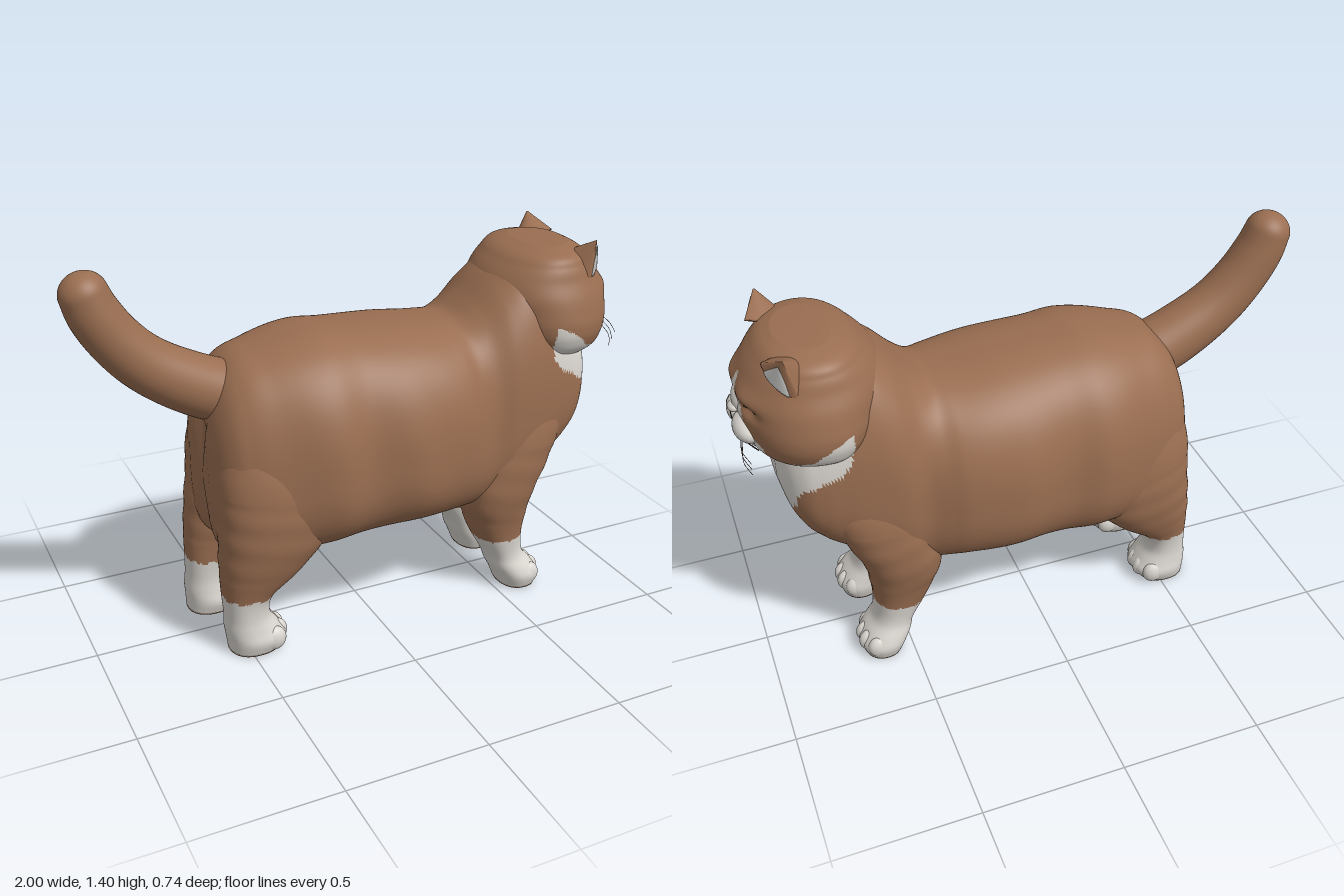
import * as THREE from 'three';

const mat = (name, color) => Object.assign(new THREE.MeshStandardMaterial({ color }), { name });
const { sin, cos, abs, sign, pow, max, exp, PI } = Math;

// Smooth interpolation through rows of [key, ...values]
function spline(rows) {
  const size = rows[0].length - 1;
  const it = new THREE.CubicInterpolant(rows.map(r => r[0]), rows.flatMap(r => r.slice(1)), size, new Float32Array(size));
  return t => Array.from(it.evaluate(THREE.MathUtils.clamp(t, rows[0][0], rows[rows.length - 1][0])));
}

// Straight-line interpolation, used for colour borders
function border(rows) {
  return t => {
    for (let i = 1; i < rows.length; i++) {
      const [a, b] = [rows[i - 1], rows[i]];
      if (t <= b[0]) return a[1] + (b[1] - a[1]) * max(0, (t - a[0]) / (b[0] - a[0]));
    }
    return rows[rows.length - 1][1];
  };
}

// Point on a unit superellipse
function ring(a, n) {
  const p = v => sign(v) * pow(abs(v), 2 / n);
  return [p(cos(a)), p(sin(a))];
}

// Closed skin over rings fn(u, angle), capped at both ends, always facing outward
function skin(rows, cols, fn) {
  const pos = [], idx = [];
  for (let i = 0; i <= rows; i++)
    for (let j = 0; j < cols; j++) pos.push(...fn(i / rows, j / cols * 2 * PI));
  const at = (i, j) => i * cols + j % cols;
  for (let i = 0; i < rows; i++)
    for (let j = 0; j < cols; j++) {
      const a = at(i, j), b = at(i, j + 1), c = at(i + 1, j), d = at(i + 1, j + 1);
      idx.push(a, b, c, b, d, c);
    }
  for (const i of [0, rows]) {
    const c = [0, 0, 0], k = pos.length / 3;
    for (let j = 0; j < cols; j++) c.forEach((_, q) => { c[q] += pos[at(i, j) * 3 + q] / cols; });
    pos.push(...c);
    for (let j = 0; j < cols; j++) idx.push(...(i ? [at(i, j), at(i, j + 1), k] : [at(i, j + 1), at(i, j), k]));
  }
  const v = k => new THREE.Vector3().fromArray(pos, idx[k] * 3);
  let volume = 0;
  for (let k = 0; k < idx.length; k += 3) volume += v(k).dot(v(k + 1).cross(v(k + 2)));
  if (volume < 0) idx.reverse();
  const g = new THREE.BufferGeometry();
  g.setAttribute('position', new THREE.Float32BufferAttribute(pos, 3));
  g.setIndex(idx);
  g.computeVertexNormals();
  return g;
}

// Sort triangles into two colour groups by the position of their middle
function paint(g, isSecond) {
  const p = g.attributes.position, idx = g.index.array, sets = [[], []];
  for (let k = 0; k < idx.length; k += 3) {
    const t = [idx[k], idx[k + 1], idx[k + 2]];
    const mid = f => t.reduce((s, i) => s + f(i) / 3, 0);
    sets[isSecond(mid(i => p.getX(i)), mid(i => p.getY(i)), mid(i => p.getZ(i))) ? 1 : 0].push(...t);
  }
  g.setIndex([...sets[0], ...sets[1]]);
  g.addGroup(0, sets[0].length, 0);
  g.addGroup(sets[0].length, sets[1].length, 1);
  return g;
}

// Torso stations along x: bottom, top, half width
const torso = spline([
  [-0.59, 0.45, 0.82, 0.1], [-0.575, 0.4, 0.88, 0.17], [-0.54, 0.36, 0.97, 0.235], [-0.48, 0.34, 1.04, 0.275],
  [-0.38, 0.33, 1.075, 0.315], [-0.2, 0.335, 1.11, 0.36], [-0.08, 0.345, 1.103, 0.348], [0.12, 0.355, 1.09, 0.37],
  [0.3, 0.35, 1.075, 0.34], [0.36, 0.345, 1.08, 0.315], [0.42, 0.34, 1.125, 0.295], [0.5, 0.34, 1.205, 0.3], [0.6, 0.37, 1.275, 0.285],
  [0.68, 0.46, 1.24, 0.272], [0.76, 0.53, 1.13, 0.252], [0.82, 0.6, 1.05, 0.215], [0.86, 0.69, 0.97, 0.15], [0.88, 0.78, 0.92, 0.07]]);
// Head stations along y: back x, front x, half width
const skull = spline([
  [0.87, 0.68, 0.85, 0.09], [0.905, 0.62, 0.9, 0.19], [0.95, 0.57, 0.942, 0.262], [1, 0.53, 0.958, 0.293],
  [1.05, 0.51, 0.965, 0.3], [1.1, 0.5, 0.965, 0.292], [1.15, 0.49, 0.957, 0.278], [1.2, 0.5, 0.935, 0.255],
  [1.25, 0.54, 0.9, 0.235], [1.29, 0.59, 0.86, 0.2], [1.31, 0.65, 0.82, 0.13]]);
// Leg stations along y: centre x, centre z, half length, half width
const foreLeg = spline([
  [0, 0.605, 0.165, 0.07, 0.09], [0.05, 0.6, 0.165, 0.085, 0.105], [0.09, 0.578, 0.16, 0.084, 0.1], [0.13, 0.555, 0.152, 0.074, 0.093],
  [0.22, 0.523, 0.15, 0.093, 0.1], [0.3, 0.508, 0.155, 0.115, 0.11], [0.4, 0.502, 0.165, 0.138, 0.125],
  [0.55, 0.54, 0.165, 0.165, 0.135], [0.7, 0.58, 0.145, 0.185, 0.14], [0.85, 0.6, 0.11, 0.15, 0.12], [0.95, 0.6, 0.1, 0.08, 0.08]]);
const hindLeg = spline([
  [0, -0.475, 0.16, 0.09, 0.085], [0.05, -0.465, 0.16, 0.105, 0.1], [0.09, -0.48, 0.16, 0.096, 0.092], [0.14, -0.495, 0.16, 0.08, 0.085],
  [0.22, -0.49, 0.16, 0.09, 0.092], [0.3, -0.445, 0.165, 0.14, 0.112], [0.4, -0.4, 0.17, 0.185, 0.135],
  [0.55, -0.37, 0.17, 0.212, 0.15], [0.7, -0.365, 0.15, 0.21, 0.155], [0.85, -0.37, 0.13, 0.15, 0.12], [0.93, -0.37, 0.12, 0.08, 0.08]]);
const tailLine = spline([
  [0, -0.4, 0.885, 0.112], [0.3, -0.6, 0.97, 0.106], [0.55, -0.75, 1.065, 0.096], [0.75, -0.845, 1.165, 0.09], [0.9, -0.905, 1.26, 0.086], [1, -0.93, 1.325, 0.08]]);

// Colour borders
const fray = t => 0.003 * sin(t * 70) + 0.002 * sin(t * 151);
const bibNear = border([[0.33, 0.025], [0.4, 0.04], [0.5, 0.06], [0.6, 0.078], [0.65, 0.085], [0.72, 0.165], [0.8, 0.205], [0.87, 0.26], [1, 0.3]]);
const bibFar = border([[0.33, 0.05], [0.4, 0.075], [0.47, 0.1], [0.55, 0.12], [0.62, 0.1], [0.67, 0.11], [0.75, 0.18], [0.8, 0.2], [0.87, 0.26], [1, 0.3]]);
const bibStart = border([[0.6, 0.55], [0.75, 0.76], [0.87, 0.71], [0.94, 0.66], [1.07, 0.65]]);
const jawLine = border([[0.65, 1.06], [0.7, 1.045], [0.79, 0.975], [0.9, 0.935], [1, 0.925]]);
const blazeWidth = border([[0.93, 0.13], [0.97, 0.16], [0.995, 0.163], [1.02, 0.12], [1.06, 0.075], [1.1, 0.042], [1.2, 0]]);
const inBib = (x, y, z) => x > bibStart(y) && y < 1.07 && abs(z) < (z > 0 ? bibNear(y) : bibFar(y)) + fray(y);
const inBelly = (x, y, z) => x > -0.24 && x < 0.45 && y < 0.405 && abs(z) < 0.15 + (x < 0.02 && x > -0.18 ? 0.07 : 0) + fray(x);
const inFace = (x, y, z) => x > 0.65 && (y < jawLine(x) + fray(x) || (x > 0.82 && y < 1.2 && abs(z) < blazeWidth(y)));

// Hollows around the eyes and a soft ridge above them
const roundness = 2.12;
const hollow = (y, z) => 0.024 * exp(-pow((y - 1.105 - 0.1 * (abs(z) - 0.1)) / 0.022, 2) - pow((abs(z) - 0.105) / 0.055, 2))
  - 0.014 * exp(-pow((y - 1.148) / 0.03, 2) - pow((abs(z) - 0.1) / 0.07, 2));
function faceX(y, z) {
  const [, front, w] = skull(y);
  return 0.72 + (front - 0.72) * pow(max(0, 1 - pow(abs(z) / w, roundness)), 1 / roundness) - hollow(y, z);
}

export function createModel() {
  const model = new THREE.Group();
  const brown = mat('brown fur', 0x9a6e51), white = mat('white fur', 0xdad6d0);
  const grey = mat('inner ear grey', 0xc4c3c2), noseGrey = mat('nose', 0xcdc6c0), dark = mat('dark lines', 0x4a372c);
  const add = (name, geometry, material) => {
    const m = new THREE.Mesh(geometry, material);
    m.name = name;
    model.add(m);
    return m;
  };
  const ball = (name, material, p, r) => {
    const m = add(name, new THREE.SphereGeometry(1, 24, 16), material);
    m.position.set(...p);
    m.scale.set(...r);
  };
  const line = (name, material, points, r) =>
    add(name, new THREE.TubeGeometry(new THREE.CatmullRomCurve3(points.map(p => new THREE.Vector3(...p))), 12, r, 5), material);

  // Torso and neck with white bib and belly, and a cleft down the rump
  add('body', paint(skin(150, 140, (u, a) => {
    const x = -0.59 + 1.47 * u, [lo, hi, w] = torso(x), [c, s] = ring(a, 2.5);
    const mid = lo + 0.42 * (hi - lo), y = mid + s * (s > 0 ? hi - mid : mid - lo);
    const z = c * w * (1 + 0.008 * sin(x * 23 + 3 * sin(a)));
    const cleft = y < 0.85 ? 0.04 * exp(-pow(z / 0.05, 2)) * max(0, -0.45 - x) / 0.14 : 0;
    return [x + cleft, y, z];
  }), (x, y, z) => inBib(x, y, z) || inBelly(x, y, z)), [brown, white]);

  // Head
  add('head', paint(skin(110, 150, (u, a) => {
    const y = 0.87 + 0.44 * u, [back, front, w] = skull(y), [c, s] = ring(a, roundness);
    const dent = c > 0.2 ? hollow(y, s * w) : 0;
    return [0.72 + c * (c > 0 ? front - 0.72 : 0.72 - back) - dent, y, s * w];
  }), inFace), [brown, white]);

  // Muzzle, chin and nose
  ball('chin', white, [0.91, 0.95, 0], [0.045, 0.036, 0.09]);
  ball('noseBridge', white, [0.95, 1.085, 0], [0.028, 0.06, 0.036]);
  ball('nose', noseGrey, [0.974, 1.062, 0], [0.02, 0.016, 0.028]);
  line('noseCleft', dark, [[0.986, 1.05, 0], [0.986, 1.03, 0], [0.982, 1.0, 0]], 0.0016);

  for (const s of [1, -1]) {
    const side = s > 0 ? 'Near' : 'Far';
    ball('muzzlePad', white, [0.94, 1.012, 0.052 * s], [0.054, 0.046, 0.08]);
    line('mouthLine', dark, [[0.97, 0.995, 0], [0.97, 0.975, 0.04 * s], [0.955, 0.965, 0.08 * s], [0.928, 0.958, 0.125 * s]], 0.0025);

    // Narrow squinting eyes
    const lid = [0.065, 0.09, 0.115, 0.15].map((z, i) => [faceX(1.1 + 0.005 * i, z), 1.1 + 0.005 * i, z * s]);
    line('eyeSlit', dark, lid, 0.0035);

    // Whiskers
    for (let i = 0; i < 3; i++)
      line('whisker', dark, [[0.97, 1.01 - 0.015 * i, 0.08 * s], [0.983, 0.985 - 0.024 * i, 0.14 * s], [0.965, 0.97 - 0.032 * i, (0.2 - 0.014 * i) * s]], 0.001);

    // Ears: a lens-shaped shell turned forward and outward, with a lighter inner face
    const ear = (k, shift, front, back) => skin(16, 32, (u, a) => {
      const t = 1 - u * 0.97, w = k * t * cos(a), d = shift + t * sin(a) * (sin(a) > 0 ? front : back);
      return [0.835 - 0.005 * u - 0.045 * w + 0.8 * d, 1.238 + 0.1 * u * (0.4 + 0.6 * k) - 0.048 * w, (0.18 + 0.045 * u * k + 0.055 * w + 0.45 * d) * s];
    });
    add('ear', ear(1, 0, 0.025, 0.15), brown);
    add('innerEar', ear(0.66, 0.016, 0.018, 0.005), grey);

    // Legs with white socks, brown soles and rounded toes
    for (const [name, table, top, inner] of [['frontLeg', foreLeg, 0.95, 0], ['hindLeg', hindLeg, 0.93, 0.15]]) {
      const stagger = y => (inner && s < 0 ? -0.05 * max(0, 1 - y / 0.55) : 0);
      add(name + side, paint(skin(90, 56, (u, a) => {
        const y = top * u, [cx, cz, rx, rz] = table(y), [c, k] = ring(a, 2.3);
        const fold = 1 + (y > 0.3 && y < 0.62 ? 0.008 * sin(y * 62 + 2 * c) : 0);
        return [cx + stagger(y) + c * rx * fold, y, (cz + k * rz * fold) * s];
      }), (x, y, z) => {
        const sock = 0.222 + fray(z + x) + (abs(z) < 0.13 && x > -0.5 ? inner : 0);
        return (y > 0.004 && y < sock) || (!inner && inBib(x, y, z));
      }), [brown, white]);
      const [cx, cz, rx] = table(0.04);
      for (let i = 0; i < 4; i++) {
        const q = i - 1.5;
        ball('toe', white, [cx + stagger(0) + rx - 0.034 - 0.011 * q * q, 0.049, (cz + q * 0.046) * s], [0.044, 0.046, 0.029]);
      }
    }
  }

  // Raised tail with a rounded tip
  add('tail', skin(60, 40, (u, a) => {
    const t = u < 0.8 ? u / 0.8 : 1, cap = max(0, (u - 0.8) / 0.2) * PI / 2 * 0.98;
    const [x, y, r] = tailLine(t), [x0, y0] = tailLine(t - 0.02), [x1, y1] = tailLine(t + 0.02);
    const len = Math.hypot(x1 - x0, y1 - y0) || 1, tx = (x1 - x0) / len, ty = (y1 - y0) / len;
    const rr = r * cos(cap), out = 0.072 * sin(cap);
    return [x + tx * out - ty * rr * cos(a), y + ty * out + tx * rr * cos(a), rr * sin(a) + 0.005];
  }), brown);

  return model;
}
